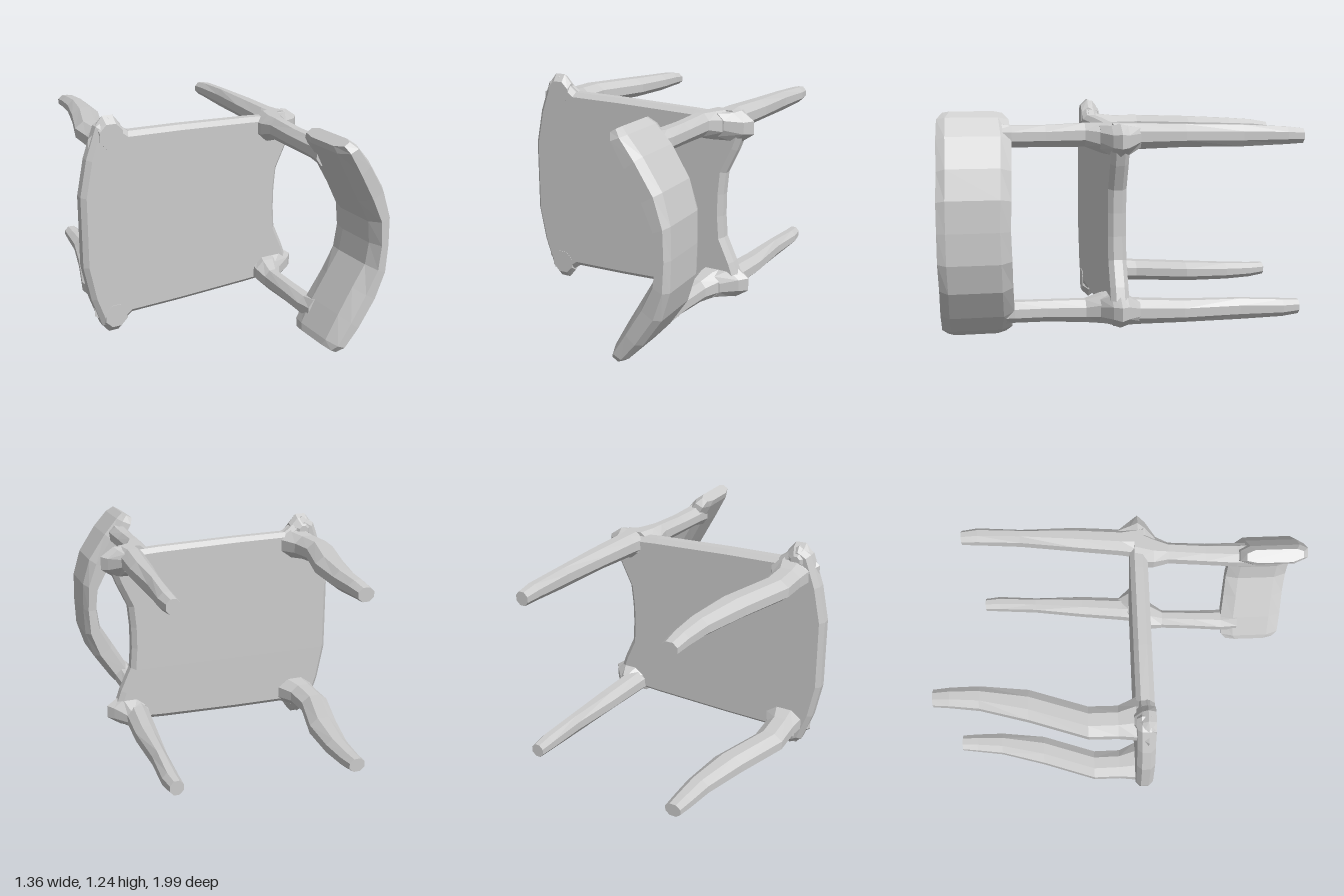
import * as THREE from 'three';

const MID = 0.62; // height of the mirror plane
const mat = new THREE.MeshStandardMaterial({ color: 0xcccccc, flatShading: true, side: THREE.DoubleSide });

// Skin a list of equal-sized rings of [x, y, z], closing both ends
function loft(rings) {
  const n = rings[0].length, idx = [];
  for (let i = 0; i < rings.length - 1; i++)
    for (let j = 0; j < n; j++) {
      const a = i * n + j, b = i * n + (j + 1) % n;
      idx.push(a, b, a + n, b, b + n, a + n);
    }
  const last = (rings.length - 1) * n;
  for (let j = 1; j < n - 1; j++) idx.push(0, j + 1, j, last, last + j, last + j + 1);
  const p = rings.flat();
  // Turn the faces outward if the enclosed volume is negative
  let vol = 0;
  for (let i = 0; i < idx.length; i += 3) {
    const [a, b, c] = [0, 1, 2].map(k => new THREE.Vector3(...p[idx[i + k]]));
    vol += a.dot(b.cross(c));
  }
  if (vol < 0) idx.reverse();
  const g = new THREE.BufferGeometry();
  g.setAttribute('position', new THREE.Float32BufferAttribute(p.flat(), 3));
  g.setIndex(idx);
  g.computeVertexNormals();
  return g;
}

// Eight-sided bar running along z; stations are [z, xMin, xMax, yMin, yMax]
function bar(stations, flip) {
  return loft(stations.map(([z, x0, x1, y0, y1]) => {
    const ring = [];
    for (let k = 0; k < 8; k++) {
      const a = (k + 0.5) * Math.PI / 4, s = 1 / Math.cos(Math.PI / 8);
      const x = (x0 + x1) / 2 + Math.cos(a) * s * (x1 - x0) / 2;
      const y = (y0 + y1) / 2 + Math.sin(a) * s * (y1 - y0) / 2;
      ring.push([x, flip ? 2 * MID - y : y, z]);
    }
    return ring;
  }));
}

export function createModel() {
  const group = new THREE.Group();
  const add = (geo, name) => {
    const m = new THREE.Mesh(geo, mat);
    m.name = name;
    group.add(m);
  };

  // Seat: upper half of the outline, mirrored, with a bevelled rim
  const half = [[-0.68, 0.82], [-0.64, 1.02], [-0.58, 1.19], [-0.51, 1.23], [-0.40, 1.145], [-0.1, 1.14],
    [0.35, 1.125], [0.6, 1.11], [0.64, 1.04], [0.6, 0.93], [0.54, 0.8], [0.53, 0.68]];
  const outline = [...half, ...half.map(([x, y]) => [x, 2 * MID - y]).reverse()];
  const bevel = 0.025;
  const seat = new THREE.ExtrudeGeometry(new THREE.Shape(outline.map(([x, y]) => new THREE.Vector2(x, y))), {
    depth: 0.045, bevelEnabled: true, bevelSize: bevel, bevelOffset: -bevel, bevelThickness: bevel, bevelSegments: 1,
  });
  seat.translate(0, 0, 0.067);
  add(seat, 'seat');

  // Legs, posts and corner joints, mirrored between the two sides
  const frontLeg = [[0.1, -0.62, -0.37, 1.0, 1.18], [0.04, -0.58, -0.37, 1.0, 1.15], [-0.05, -0.57, -0.41, 1.01, 1.14],
    [-0.2, -0.57, -0.41, 1.02, 1.14], [-0.5, -0.47, -0.31, 1.02, 1.135], [-0.75, -0.4, -0.28, 1.025, 1.125],
    [-0.9, -0.38, -0.28, 1.03, 1.115], [-0.99, -0.37, -0.285, 1.03, 1.1]];
  const backLeg = [[0.12, 0.44, 0.62, 1.0, 1.14], [0.0, 0.46, 0.59, 1.01, 1.14], [-0.25, 0.49, 0.61, 1.02, 1.135],
    [-0.55, 0.53, 0.61, 1.02, 1.13], [-0.78, 0.545, 0.63, 1.03, 1.12], [-0.87, 0.55, 0.62, 1.035, 1.11]];
  const post = [[0.07, 0.4, 0.62, 0.97, 1.14], [0.17, 0.39, 0.55, 0.99, 1.14], [0.25, 0.4, 0.5, 1.02, 1.14],
    [0.45, 0.385, 0.49, 1.02, 1.13], [0.62, 0.37, 0.49, 1.02, 1.13], [0.72, 0.37, 0.48, 1.0, 1.14]];
  const joint = [[-0.02, 0.53, 0.59, 1.02, 1.12], [0.05, 0.46, 0.65, 0.98, 1.13],
    [0.09, 0.43, 0.68, 0.97, 1.14], [0.13, 0.43, 0.64, 0.98, 1.13], [0.18, 0.43, 0.55, 1.01, 1.13]];
  const tip = [[0.03, -0.53, -0.48, 1.13, 1.18], [0.07, -0.58, -0.44, 1.07, 1.22],
    [0.1, -0.58, -0.44, 1.07, 1.24], [0.14, -0.57, -0.44, 1.07, 1.2]];
  for (const flip of [false, true]) {
    const side = flip ? 'lower' : 'upper';
    add(bar(frontLeg, flip), side + 'FrontLeg');
    add(bar(backLeg, flip), side + 'BackLeg');
    add(bar(post, flip), side + 'BackPost');
    add(bar(joint, flip), side + 'BackCorner');
    add(bar(tip, flip), side + 'FrontCorner');
  }

  // Backrest: curved slat; stations are [inner x, inner y, outer x, outer y, z low, z high]
  const slatHalf = [[0.33, 1.165, 0.39, 1.2, 0.66, 0.96], [0.34, 1.13, 0.43, 1.17, 0.63, 0.99],
    [0.41, 1.0, 0.51, 1.08, 0.62, 0.995], [0.49, 0.86, 0.61, 0.93, 0.63, 0.995], [0.56, 0.74, 0.655, 0.78, 0.635, 1.0]];
  const slat = [...slatHalf, [0.575, MID, 0.66, MID, 0.64, 1.0],
    ...slatHalf.map(([a, b, c, d, e, f]) => [a, 2 * MID - b, c, 2 * MID - d, e, f]).reverse()];
  // Rounded section: u runs from inner to outer face, v from low to high edge
  const section = [[0.2, 0], [0.75, 0], [1, 0.15], [1, 0.88], [0.8, 1], [0.3, 1], [0, 0.8], [0, 0.2]];
  add(loft(slat.map(([xi, yi, xo, yo, z0, z1]) => section.map(([u, v]) =>
    [xi + (xo - xi) * u, yi + (yo - yi) * u, z0 + (z1 - z0) * v]))), 'backrest');

  return group;
}
